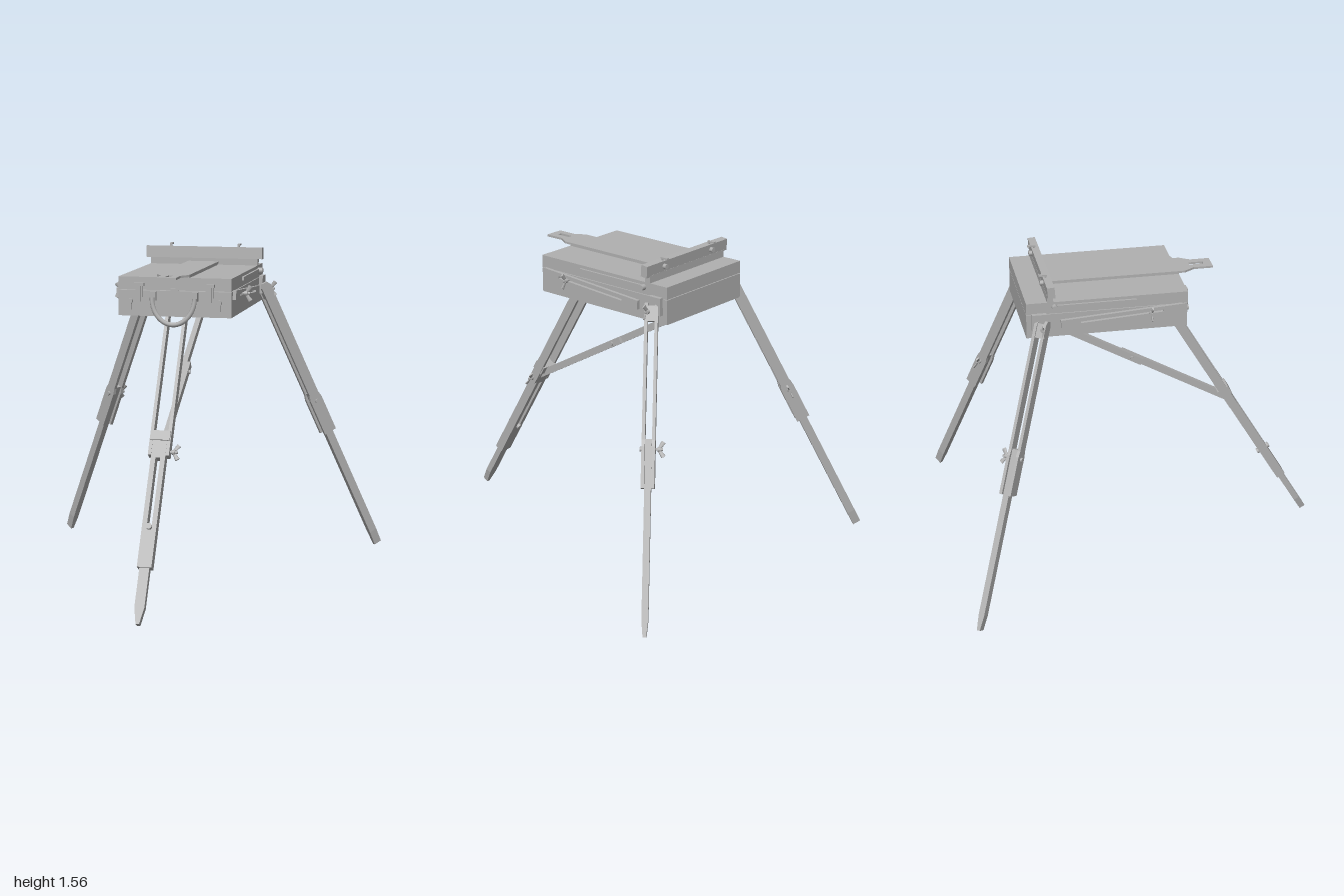
import * as THREE from 'three';

const grey = new THREE.MeshStandardMaterial({ color: 0xb0b0b0 });
grey.name = 'plainGrey';

function add(parent, name, geo, x = 0, y = 0, z = 0) {
  const m = new THREE.Mesh(geo, grey);
  m.name = name;
  m.position.set(x, y, z);
  parent.add(m);
  return m;
}
const box = (parent, name, w, h, d, x, y, z) =>
  add(parent, name, new THREE.BoxGeometry(w, h, d), x, y, z);

// Flat outline with holes, extruded along z and centred on it
function plate(points, depth, holes = []) {
  const v = (a) => a.map((p) => new THREE.Vector2(p[0], p[1]));
  const s = new THREE.Shape(v(points));
  holes.forEach((h) => s.holes.push(new THREE.Path(v(h))));
  return new THREE.ExtrudeGeometry(s, { depth, bevelEnabled: false }).translate(0, 0, -depth / 2);
}
const rect = (x0, y0, x1, y1) => [[x0, y0], [x1, y0], [x1, y1], [x0, y1]];

// Bolt with two wings; the bolt runs along local x, away from the origin
function wingNut(parent, x, y, z, dir) {
  const g = new THREE.Group();
  g.name = 'wingNut';
  g.position.set(x, y, z);
  const bolt = add(g, 'bolt', new THREE.CylinderGeometry(0.006, 0.006, 0.04, 10), dir * 0.015, 0, 0);
  bolt.rotation.z = Math.PI / 2;
  const hub = add(g, 'hub', new THREE.CylinderGeometry(0.011, 0.011, 0.014, 12), dir * 0.016, 0, 0);
  hub.rotation.z = Math.PI / 2;
  for (const s of [-1, 1]) {
    const w = add(g, 'wing', new THREE.CylinderGeometry(0.011, 0.007, 0.034, 8), dir * 0.028, s * 0.02, 0);
    w.scale.z = 0.4;
    w.rotation.z = -s * dir * 0.6 + (s < 0 ? Math.PI : 0);
  }
  parent.add(g);
}

// Group whose y axis runs from one point up to another, x axis horizontal
function along(parent, name, from, to) {
  const a = new THREE.Vector3(...from), b = new THREE.Vector3(...to);
  const y = b.clone().sub(a), length = y.length();
  y.normalize();
  const x = y.clone().cross(new THREE.Vector3(0, 1, 0)).normalize();
  const z = x.clone().cross(y);
  const g = new THREE.Group();
  g.name = name;
  g.quaternion.setFromRotationMatrix(new THREE.Matrix4().makeBasis(x, y, z));
  g.position.copy(a);
  parent.add(g);
  return { g, length };
}

// Pointed bottom pole
function pole(parent, w, d, top) {
  const h = w / 2;
  add(parent, 'footPole', plate([[-0.008, 0], [0.008, 0], [h, 0.075], [h, top], [-h, top], [-h, 0.075]], d));
}

function backLeg(parent, side) {
  const { g, length: L } = along(parent, 'backLeg', [side * 0.812, 0, -0.588], [side * 0.278, 1.36, -0.18]);
  const k = L / 1.36;                       // length per unit of height
  pole(g, 0.03, 0.04, 0.8 * k);
  for (const s of [-1, 1]) {
    // slotted side rail, broader at the lower end
    const lo = 0.6 * k, mid = 0.77 * k;
    const rail = plate(
      [[-0.033, lo], [0.033, lo], [0.033, mid], [0.026, mid + 0.03], [0.026, L - 0.02],
        [0.012, L], [-0.012, L], [-0.026, L - 0.02], [-0.026, mid + 0.03], [-0.033, mid]],
      0.015, []);
    add(g, 'sideRail', rail.rotateY(Math.PI / 2), s * 0.0235, 0, 0);
  }
  box(g, 'topSpacer', 0.032, 0.07, 0.04, 0, L - 0.05, 0);
  wingNut(g, side * 0.031, 0.76 * k, 0, side);
  const head = add(g, 'boltHead', new THREE.CylinderGeometry(0.011, 0.011, 0.01, 12), -side * 0.035, 0.76 * k, 0);
  head.rotation.z = Math.PI / 2;
  // hinge on the box corner
  box(parent, 'legBracket', 0.025, 0.085, 0.07, side * 0.272, 1.35, -0.2);
  wingNut(parent, side * 0.305, 1.33, -0.19, side);
}

function frontLeg(parent) {
  const { g, length: L } = along(parent, 'frontLeg', [0, 0, 1.234], [0, 1.28, 0.46]);
  const k = L / 1.28;
  pole(g, 0.045, 0.03, 0.36 * k);
  // slotted sliding board
  add(g, 'slottedBoard', plate(rect(-0.033, 0.22 * k, 0.033, 0.75 * k), 0.045,
    [rect(-0.011, 0.37 * k, 0.011, 0.66 * k)]));
  box(g, 'collar', 0.09, 0.045, 0.06, 0, 0.75 * k, 0);
  for (const s of [-1, 1]) {
    box(g, 'upperRail', 0.015, L - 0.67 * k, 0.045, s * 0.041, (L + 0.67 * k) / 2, 0);
  }
  wingNut(g, 0.048, 0.69 * k, 0, 1);
  const knob = add(g, 'slotKnob', new THREE.CylinderGeometry(0.014, 0.014, 0.07, 12), 0, 0.38 * k, 0);
  knob.rotation.x = Math.PI / 2;
}

function brace(parent) {
  const { g, length: L } = along(parent, 'brace', [0, 0.69, 0.82], [0, 1.27, -0.21]);
  box(g, 'lowerBar', 0.025, L * 0.55, 0.034, 0.008, L * 0.275, 0);
  box(g, 'upperBar', 0.025, L * 0.55, 0.034, -0.008, L * 0.725, 0);
  const b = add(g, 'braceBolt', new THREE.CylinderGeometry(0.01, 0.01, 0.055, 10), 0, L * 0.5, 0);
  b.rotation.z = Math.PI / 2;
}

function paintBox(parent) {
  box(parent, 'boxBody', 0.53, 0.118, 0.78, 0, 1.325, 0.13);
  box(parent, 'boxLid', 0.53, 0.059, 0.78, 0, 1.4165, 0.13);
  // central mast lying on the lid, with a slotted tip
  const mast = plate([[-0.075, -0.12], [0.075, -0.12], [0.075, 0.55], [0.045, 0.6], [0.045, 0.695],
    [-0.045, 0.695], [-0.045, 0.6], [-0.075, 0.55]], 0.01, [rect(-0.012, 0.585, 0.012, 0.655)]);
  add(parent, 'mast', mast.rotateX(Math.PI / 2), 0, 1.458, 0);
  box(parent, 'mastBed', 0.14, 0.01, 0.64, 0, 1.449, 0.2);
  // canvas holder across the back
  box(parent, 'holderBase', 0.53, 0.036, 0.03, 0, 1.463, -0.145);
  const ledge = box(parent, 'canvasHolder', 0.575, 0.056, 0.036, 0, 1.504, -0.143);
  ledge.rotation.x = -0.08;
  for (const s of [-1, 1]) {
    box(parent, 'hookPost', 0.009, 0.02, 0.009, s * 0.168, 1.537, -0.15);
    box(parent, 'hookArm', 0.012, 0.008, 0.04, s * 0.168, 1.543, -0.165);
    const n = add(parent, 'holderKnob', new THREE.CylinderGeometry(0.012, 0.012, 0.02, 12), s * 0.168, 1.505, -0.168);
    n.rotation.x = Math.PI / 2;

    // slanted slotted bar on each side
    const bar = plate(rect(-0.295, -0.022, 0.295, 0.022), 0.016, [rect(-0.2, -0.005, 0.2, 0.005)]);
    const m = add(parent, 'slantedBar', bar.rotateY(-Math.PI / 2), s * 0.274, 1.35, 0.2);
    m.rotation.x = -0.065;
    wingNut(parent, s * 0.282, 1.362, 0.34, s);
    // lid stay
    box(parent, 'lidStay', 0.01, 0.016, 0.4, s * 0.27, 1.423, 0.07);
    const p = add(parent, 'stayKnob', new THREE.CylinderGeometry(0.014, 0.014, 0.024, 12), s * 0.28, 1.423, -0.125);
    p.rotation.z = Math.PI / 2;

    // latches on the front
    box(parent, 'latchPlate', 0.034, 0.06, 0.012, s * 0.165, 1.385, 0.525);
    box(parent, 'latchLever', 0.02, 0.07, 0.014, s * 0.165, 1.37, 0.536);
    box(parent, 'latchCatch', 0.045, 0.014, 0.018, s * 0.165, 1.412, 0.53);
    const r = add(parent, 'cornerStud', new THREE.CylinderGeometry(0.013, 0.013, 0.02, 12), s * 0.208, 1.335, 0.528);
    r.rotation.x = Math.PI / 2;
    box(parent, 'cornerTab', 0.014, 0.045, 0.01, s * 0.208, 1.318, 0.524);
    box(parent, 'handleMount', 0.026, 0.04, 0.03, s * 0.098, 1.36, 0.53);
  }
  box(parent, 'lockPlate', 0.034, 0.022, 0.01, 0, 1.384, 0.524);
  // curved carrying handle
  const pts = [];
  for (let i = 0; i <= 12; i++) {
    const a = Math.PI * (1 + i / 12);
    pts.push(new THREE.Vector3(Math.cos(a) * 0.1, 1.355 + Math.sin(a) * 0.122, 0.548 - Math.sin(a) * 0.012));
  }
  const path = new THREE.CatmullRomCurve3(pts);
  add(parent, 'handle', new THREE.TubeGeometry(path, 32, 0.011, 8));
}

export function createModel() {
  const model = new THREE.Group();
  model.name = 'boxEasel';
  const easel = new THREE.Group();
  easel.name = 'easel';
  easel.rotation.y = 0.471;                 // turned on its stand
  easel.position.set(0.213, 0, -0.109);
  model.add(easel);
  paintBox(easel);
  backLeg(easel, -1);
  backLeg(easel, 1);
  frontLeg(easel);
  brace(easel);
  return model;
}
